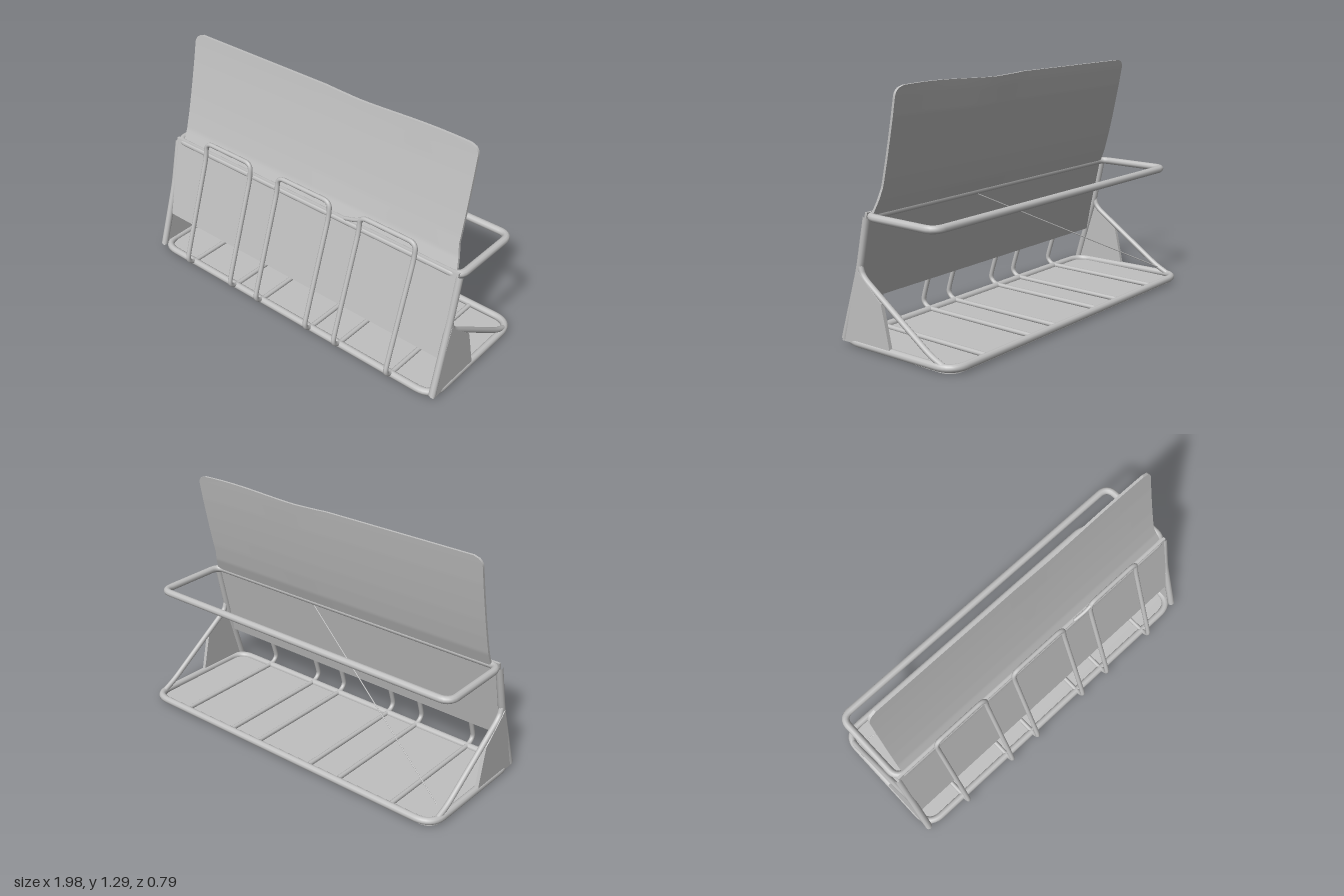
import * as THREE from 'three';

const V = (x, y, z) => new THREE.Vector3(x, y, z);

// Curve through the given points with every corner rounded
function roundedPath(points, radius, closed = false) {
  const path = new THREE.CurvePath();
  const n = points.length;
  const corners = points.map((p, i) => {
    if (!closed && (i === 0 || i === n - 1)) return { a: p, b: p, p };
    const prev = points[(i + n - 1) % n], next = points[(i + 1) % n];
    const cut = q => {
      const d = q.distanceTo(p);
      return p.clone().lerp(q, Math.min(radius, d * 0.45) / d);
    };
    return { a: cut(prev), b: cut(next), p };
  });
  for (let i = 0; i < (closed ? n : n - 1); i++) {
    const next = corners[(i + 1) % n];
    path.add(new THREE.LineCurve3(corners[i].b, next.a));
    if (next.a !== next.b) path.add(new THREE.QuadraticBezierCurve3(next.a, next.p, next.b));
  }
  return path;
}

// Linear lookup in rows of [key, value]
function lookup(rows, k) {
  for (let i = 1; i < rows.length; i++) {
    const [k0, v0] = rows[i - 1], [k1, v1] = rows[i];
    if (k <= k1) return v0 + (v1 - v0) * (k - k0) / (k1 - k0);
  }
  return rows[rows.length - 1][1];
}

export function createModel() {
  const group = new THREE.Group();
  const grey = new THREE.MeshStandardMaterial({ color: 0xc0c0c0 });
  grey.name = 'greyMetal';

  const add = (name, geometry) => {
    const mesh = new THREE.Mesh(geometry, grey);
    mesh.name = name;
    group.add(mesh);
    return mesh;
  };
  const wire = (name, points, r, corner = 0.05, closed = false, segments = 160) =>
    add(name, new THREE.TubeGeometry(roundedPath(points, corner, closed), segments, r, 10, closed));
  const ball = (name, p, r) => add(name, new THREE.SphereGeometry(r, 12, 8)).position.copy(p);

  // Base frame
  wire('baseFrame', [V(-0.972, 0.022, 0.337), V(0.972, 0.022, 0.337),
    V(0.972, 0.033, -0.375), V(-0.972, 0.033, -0.375)], 0.02, 0.1, true, 300);

  // Floor plate with rounded corners
  const floor = new THREE.Shape();
  const fx = 0.975, z0 = -0.375, z1 = 0.34, fr = 0.09;
  floor.moveTo(-fx + fr, z0).lineTo(fx - fr, z0);
  floor.quadraticCurveTo(fx, z0, fx, z0 + fr).lineTo(fx, z1 - fr);
  floor.quadraticCurveTo(fx, z1, fx - fr, z1).lineTo(-fx + fr, z1);
  floor.quadraticCurveTo(-fx, z1, -fx, z1 - fr).lineTo(-fx, z0 + fr);
  floor.quadraticCurveTo(-fx, z0, -fx + fr, z0);
  const floorGeometry = new THREE.ExtrudeGeometry(floor, { depth: 0.012, bevelEnabled: false });
  floorGeometry.rotateX(Math.PI / 2).scale(1, 1, -1);
  floorGeometry.rotateZ(Math.PI).scale(1, 1, -1);
  floorGeometry.translate(0, 0.008, 0);
  add('floorPlate', floorGeometry);

  // Upper rear rail loop
  wire('upperRail', [V(-0.965, 0.665, 0.165), V(0.965, 0.665, 0.165),
    V(0.965, 0.665, -0.27), V(-0.965, 0.665, -0.27)], 0.02, 0.06, true, 300);

  // Sides: front leg, inner rod, diagonal brace and gusset plate
  const gusset = new THREE.Shape([[0.345, 0.02], [0.225, 0.4], [0.2, 0.375], [0.065, 0.26],
    [0.05, 0.2], [0.03, 0.11], [0.012, 0.03]].map(([z, y]) => new THREE.Vector2(z, y)));
  for (const [side, s] of [['left', 1], ['right', -1]]) {
    wire(side + 'Leg', [V(s * 0.965, 0.665, 0.165), V(s * 0.965, 0.4, 0.224),
      V(s * 0.972, 0.03, 0.337)], 0.019, 0.05, false, 50);
    wire(side + 'Brace', [V(s * 0.968, 0.42, 0.218), V(s * 0.968, 0.365, 0.2),
      V(s * 0.968, 0.07, -0.24), V(s * 0.965, 0.035, -0.32)], 0.015, 0.05, false, 60);
    const plate = new THREE.ExtrudeGeometry(gusset, { depth: 0.02, bevelEnabled: false });
    plate.rotateY(-Math.PI / 2).translate(s * 0.976 + 0.01, 0, 0);
    add(side + 'Gusset', plate);
  }

  // Panels: boxes bent along a side profile, with a half width for each height
  function panel(name, yLow, yHigh, rows, depths, halfWidth, wave = () => 0) {
    const geometry = new THREE.BoxGeometry(2, 1, 0.014, 32, rows, 1);
    const p = geometry.attributes.position;
    for (let i = 0; i < p.count; i++) {
      const t = p.getY(i) + 0.5;
      const y = yLow + (yHigh - yLow) * t;
      const u = p.getX(i);
      p.setXYZ(i, u * halfWidth(y, u), y + wave(u) * t, p.getZ(i) + lookup(depths, y));
    }
    geometry.computeVertexNormals();
    add(name, geometry);
  }
  panel('lowerPanel', 0.222, 0.685, 16,
    [[0.222, 0.272], [0.42, 0.228], [0.64, 0.178], [0.69, 0.168]], () => 0.965);

  const top = 1.285, round = 0.05;
  panel('backPanel', 0.66, top, 60,
    [[0.66, 0.158], [0.74, 0.126], [0.84, 0.099], [0.94, 0.075], [1.04, 0.053],
      [1.14, 0.032], [1.24, 0.013], [1.29, 0.004]],
    (y, u) => {
      const k = Math.max(0, (y - top + round) / round);
      const flare = u > 0 ? Math.max(0, 0.8 - y) * 0.22 : 0;
      return (u > 0 ? 0.915 : 0.925) - round * (1 - Math.sqrt(Math.max(0, 1 - k * k))) + flare;
    },
    u => u > 0 ? 0.008 * Math.cos((u - 0.8) * Math.PI / 0.6) * Math.min(1, u * 4) - 0.002 : 0);

  // Front wire hoops that run down and back across the floor
  const legPoints = x => [V(x, 0.03, -0.375), V(x, 0.026, 0.35), V(x, 0.06, 0.388),
    V(x, 0.11, 0.375), V(x, 0.66, 0.193), V(x, 0.748, 0.182)];
  [[-0.715, -0.378], [-0.18, 0.178], [0.375, 0.718]].forEach(([a, b], i) =>
    wire('frontHoop' + (i + 1), [...legPoints(a), ...legPoints(b).reverse()], 0.013, 0.045, false, 320));

  // Short spur on one hoop
  const spurEnd = V(0.275, 0.69, 0.175);
  wire('hoopSpur', [V(0.385, 0.735, 0.184), V(0.34, 0.713, 0.184), spurEnd], 0.011, 0.03, false, 20);
  ball('spurTip', spurEnd, 0.011);

  // Thin diagonal stay from the rear base corner to the upper rail
  wire('diagonalStay', [V(-0.93, 0.075, -0.27), V(0.2, 0.65, 0.145)], 0.003, 0, false, 4);

  return group;
}
